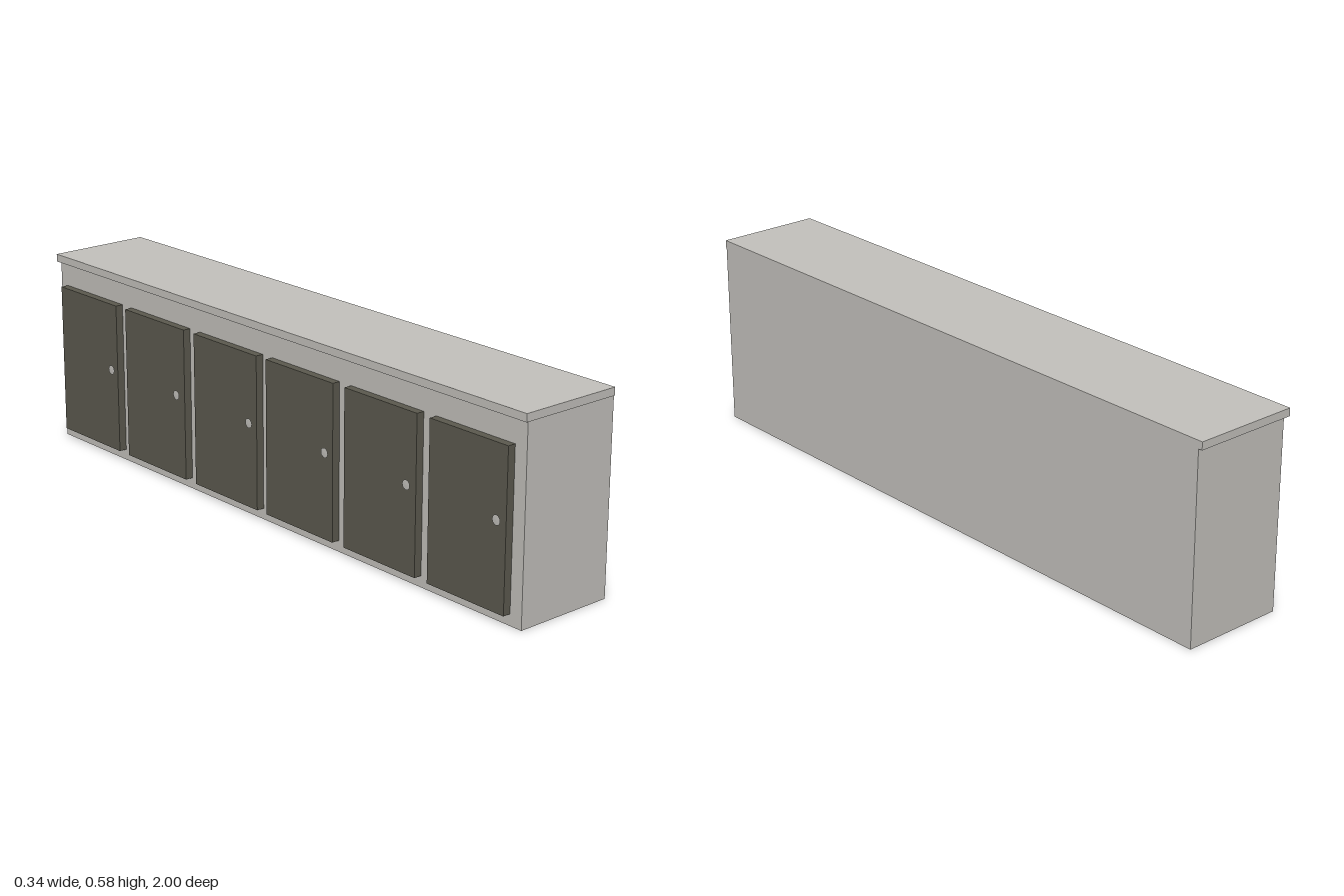
import * as THREE from 'three';

export function createModel() {
  const model = new THREE.Group();
  model.name = 'cabinet';

  const paleGrey = new THREE.MeshStandardMaterial({ color: 0xc4c2bd });
  paleGrey.name = 'pale grey';
  const darkOlive = new THREE.MeshStandardMaterial({ color: 0x5c5a4f });
  darkOlive.name = 'dark olive';

  // Box given by its lower and upper corners
  function box(name, material, [x0, y0, z0], [x1, y1, z1]) {
    const geometry = new THREE.BoxGeometry(x1 - x0, y1 - y0, z1 - z0);
    const mesh = new THREE.Mesh(geometry, material);
    mesh.name = name;
    mesh.position.set((x0 + x1) / 2, (y0 + y1) / 2, (z0 + z1) / 2);
    model.add(mesh);
  }

  // Carcass and worktop, which overhangs the door side and the back end
  box('carcass', paleGrey, [-0.142, 0, -0.988], [0.17, 0.561, 0.997]);
  box('worktop', paleGrey, [-0.15, 0.561, -1], [0.17, 0.584, 1]);

  // Knob profile: narrow neck flaring to a flat face
  const knobGeometry = new THREE.LatheGeometry([
    new THREE.Vector2(0.008, 0),
    new THREE.Vector2(0.005, 0.0025),
    new THREE.Vector2(0.0145, 0.006),
    new THREE.Vector2(0, 0.0065),
  ], 12).toNonIndexed();
  knobGeometry.computeVertexNormals();

  // Six doors, each with a knob near its front-side edge: [door start, knob z]
  const doors = [
    [-0.957, -0.7], [-0.63, -0.382], [-0.302, -0.05],
    [0.02, 0.273], [0.347, 0.596], [0.675, 0.926],
  ];
  doors.forEach(([z, knobZ], i) => {
    box(`door${i + 1}`, darkOlive, [-0.166, 0.033, z], [-0.142, 0.492, z + 0.281]);
    const knob = new THREE.Mesh(knobGeometry, paleGrey);
    knob.name = `knob${i + 1}`;
    knob.rotation.z = Math.PI / 2;
    knob.position.set(-0.1655, 0.288, knobZ);
    model.add(knob);
  });

  return model;
}
